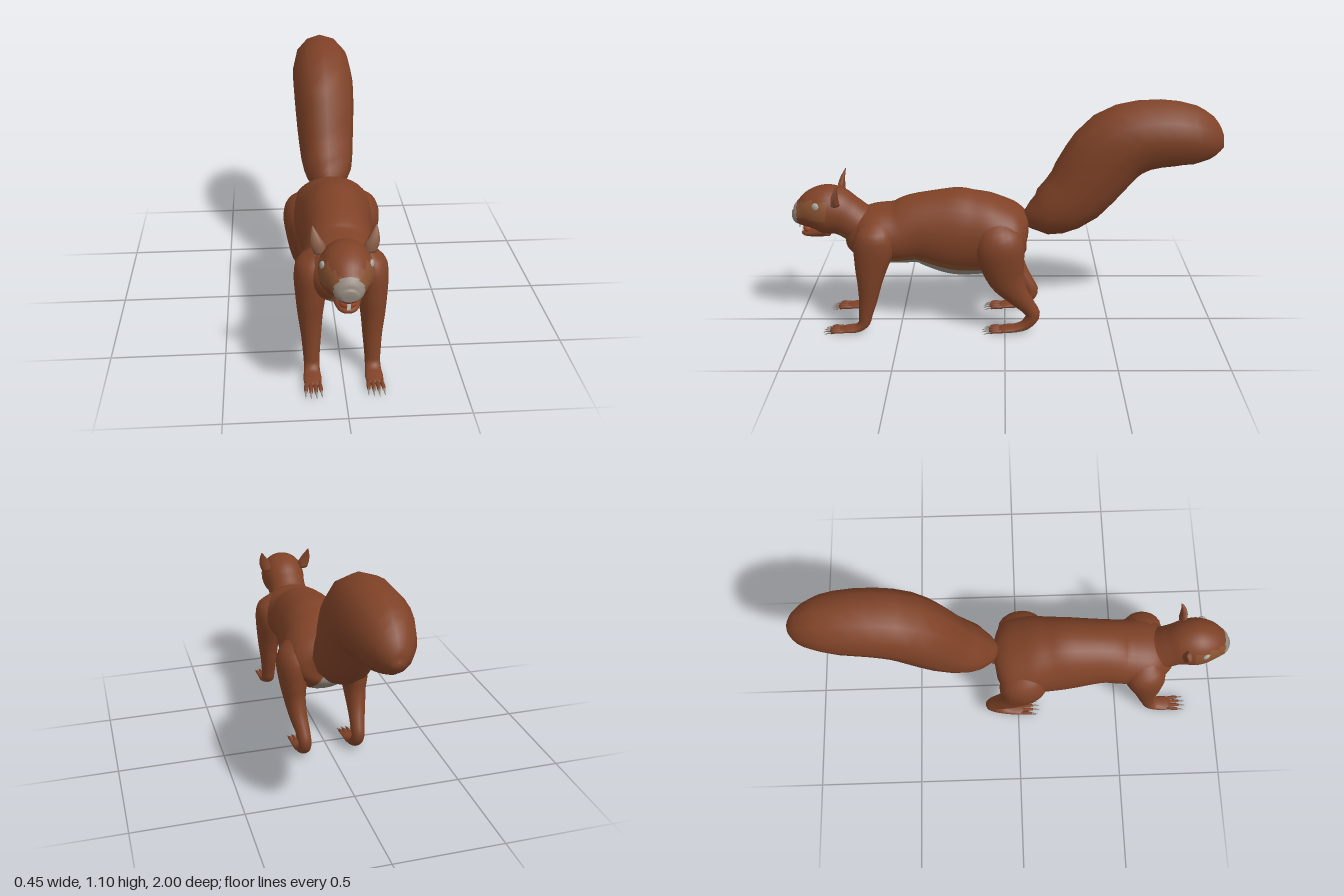
import * as THREE from 'three';

const mat = (name, color) => {
  const m = new THREE.MeshStandardMaterial({ color });
  m.name = name;
  return m;
};
const fur = mat('fur', 0x7f4227);
const paleFur = mat('paleFur', 0x86502f);
const grey = mat('greyFur', 0x958a80);
const eyeGrey = mat('eyeGrey', 0xaaa49c);
const earInner = mat('earInner', 0x875c45);
const mouthRed = mat('mouthRed', 0xa3482a);
const toothWhite = mat('tooth', 0xcfc8bc);

// Skin through elliptical sections. Each station is [x, y, z, sideRadius, upRadius].
// pick(centre, normal, angleFromBottom) returns the material of each face.
function loft(name, stations, { sides = 20, steps = 24, pick = () => fur } = {}) {
  const path = new THREE.CatmullRomCurve3(stations.map(s => new THREE.Vector3(s[0], s[1], s[2])), false, 'catmullrom');
  const size = new THREE.CatmullRomCurve3(stations.map(s => new THREE.Vector3(s[3], s[4], 0)), false, 'catmullrom');
  const X = new THREE.Vector3(1, 0, 0);
  const pts = [];
  for (let i = 0; i <= steps; i++) {
    const t = i / steps, c = path.getPoint(t), r = size.getPoint(t);
    const up = path.getTangent(t).cross(X).normalize();
    for (let j = 0; j < sides; j++) {
      const a = (j / sides) * Math.PI * 2;
      pts.push(c.clone().addScaledVector(X, Math.max(r.x, 0.001) * Math.sin(a))
        .addScaledVector(up, -Math.max(r.y, 0.001) * Math.cos(a)));
    }
  }
  const first = pts.push(path.getPoint(0)) - 1;
  const last = pts.push(path.getPoint(1)) - 1;
  const buckets = new Map();
  const add = (faces, angle) => {
    const [a, b, c] = faces[0].map(k => pts[k]);
    const n = new THREE.Vector3().subVectors(b, a).cross(new THREE.Vector3().subVectors(c, a)).normalize();
    const centre = new THREE.Vector3();
    faces.flat().forEach(k => centre.addScaledVector(pts[k], 1 / faces.flat().length));
    const m = pick(centre, n, angle);
    if (!buckets.has(m)) buckets.set(m, []);
    buckets.get(m).push(...faces.flat());
  };
  for (let j = 0; j < sides; j++) {
    const k = (j + 1) % sides, turn = ((j + 0.5) / sides) * Math.PI * 2;
    const angle = Math.min(turn, Math.PI * 2 - turn);
    for (let i = 0; i < steps; i++) {
      const p = i * sides, q = p + sides;
      add([[p + j, p + k, q + k], [p + j, q + k, q + j]], angle);
    }
    add([[first, k, j]], angle);
    add([[last, steps * sides + j, steps * sides + k]], angle);
  }
  const geo = new THREE.BufferGeometry().setFromPoints(pts);
  const index = [], mats = [];
  for (const [m, list] of buckets) {
    geo.addGroup(index.length, list.length, mats.length);
    mats.push(m);
    for (const v of list) index.push(v);
  }
  geo.setIndex(index);
  geo.computeVertexNormals();
  const mesh = new THREE.Mesh(geo, mats);
  mesh.name = name;
  return mesh;
}

function ball(name, material, pos, scale) {
  const m = new THREE.Mesh(new THREE.SphereGeometry(1, 16, 12), material);
  m.name = name;
  m.position.set(...pos);
  m.scale.set(...scale);
  return m;
}

// Four spread toes with grey claws
function toes(s, z) {
  const g = new THREE.Group();
  g.name = 'toes';
  for (let i = 0; i < 4; i++) {
    const o = i - 1.5, x = s * 0.13 + o * 0.018, reach = Math.abs(o) > 1 ? -0.008 : 0;
    g.add(loft('toe', [
      [x, 0.014, z - 0.02, 0.008, 0.009], [x + o * 0.002, 0.016, z + 0.02, 0.009, 0.009],
      [x + o * 0.003, 0.011, z + 0.045 + reach, 0.006, 0.007],
    ], { sides: 8, steps: 4, pick: (c, n) => (n.y < -0.4 ? grey : fur) }));
    g.add(loft('claw', [
      [x + o * 0.003, 0.012, z + 0.038 + reach, 0.005, 0.006], [x + o * 0.004, 0.01, z + 0.06 + reach, 0.004, 0.004],
      [x + o * 0.005, 0.004, z + 0.078 + reach, 0.001, 0.001],
    ], { sides: 6, steps: 4, pick: () => grey }));
  }
  return g;
}

export function createModel() {
  const model = new THREE.Group();
  model.name = 'squirrel';

  // Body with grey chest, belly and rump stripe
  model.add(loft('body', [
    [0, 0.48, -0.11, 0.04, 0.04], [0, 0.48, -0.095, 0.12, 0.095], [0, 0.475, -0.05, 0.17, 0.135],
    [0, 0.465, 0.05, 0.185, 0.185], [0, 0.462, 0.15, 0.175, 0.205], [0, 0.47, 0.25, 0.165, 0.21],
    [0, 0.482, 0.4, 0.15, 0.172], [0, 0.465, 0.5, 0.155, 0.148], [0, 0.46, 0.6, 0.165, 0.138],
    [0, 0.45, 0.67, 0.14, 0.115], [0, 0.445, 0.73, 0.085, 0.065], [0, 0.445, 0.75, 0.02, 0.02],
  ], {
    sides: 32, steps: 44,
    pick: (c, n, a) => {
      const edge = c.z > 0.55 ? 0.52 : c.z < 0 ? 0.42 : 0.78;
      return a < edge ? grey : a < edge + 0.2 && c.z > 0 ? paleFur : fur;
    },
  }));

  // Neck and head with pale cheeks and grey muzzle
  model.add(loft('head', [
    [0, 0.47, 0.6, 0.1, 0.1], [0, 0.505, 0.68, 0.1, 0.095], [0, 0.545, 0.74, 0.098, 0.1],
    [0, 0.57, 0.79, 0.107, 0.115], [0, 0.578, 0.84, 0.111, 0.118], [0, 0.575, 0.89, 0.1, 0.1],
    [0, 0.562, 0.94, 0.074, 0.07], [0, 0.552, 0.975, 0.052, 0.044], [0, 0.55, 0.992, 0.028, 0.024],
  ], {
    sides: 32, steps: 44,
    pick: (c, n, a) => {
      if (c.z > 0.965 && c.y > 0.528) return grey;
      if (c.z < 0.77 && a < 0.65) return grey;
      if (c.z < 0.77 && a < 0.9) return paleFur;
      return c.z > 0.82 && c.y > 0.56 && c.y < 0.61 + Math.abs(c.x) * 0.4 ? paleFur : fur;
    },
  }));

  // Open mouth
  model.add(loft('lowerJaw', [
    [0, 0.487, 0.83, 0.065, 0.038], [0, 0.472, 0.89, 0.053, 0.026],
    [0, 0.464, 0.935, 0.037, 0.015], [0, 0.465, 0.955, 0.016, 0.007],
  ], { steps: 12 }));
  model.add(ball('mouthInside', mouthRed, [0, 0.489, 0.925], [0.036, 0.025, 0.024]));
  for (const [name, y, z] of [['upperTooth', 0.505, 0.965], ['lowerTooth', 0.477, 0.95]]) {
    const tooth = new THREE.Mesh(new THREE.BoxGeometry(0.014, 0.028, 0.007), toothWhite);
    tooth.name = name;
    tooth.position.set(0, y, z);
    model.add(tooth);
  }

  // Bushy tail
  model.add(loft('tail', [
    [0, 0.525, -0.095, 0.03, 0.035], [0, 0.54, -0.14, 0.075, 0.075], [0, 0.57, -0.215, 0.115, 0.125],
    [0, 0.655, -0.33, 0.132, 0.158], [0, 0.78, -0.42, 0.143, 0.177], [0, 0.885, -0.51, 0.149, 0.181],
    [0, 0.935, -0.63, 0.149, 0.167], [0, 0.942, -0.78, 0.138, 0.153], [0, 0.925, -0.88, 0.113, 0.13],
    [0, 0.908, -0.95, 0.078, 0.088], [0, 0.9, -0.99, 0.035, 0.04], [0, 0.9, -1, 0.005, 0.005],
  ], { sides: 12, steps: 22 }));

  const sole = (c, n) => (n.y < -0.5 && c.y < 0.03 ? grey : fur);
  for (const s of [1, -1]) {
    const side = s > 0 ? 'left' : 'right';
    const mirror = list => list.map(([x, ...rest]) => [s * x, ...rest]);

    model.add(loft(side + 'FrontLeg', mirror([
      [0.09, 0.56, 0.6, 0.03, 0.04], [0.118, 0.51, 0.6, 0.066, 0.08], [0.128, 0.44, 0.605, 0.07, 0.095],
      [0.13, 0.34, 0.622, 0.062, 0.076], [0.132, 0.26, 0.632, 0.052, 0.058], [0.13, 0.18, 0.642, 0.043, 0.045],
      [0.13, 0.1, 0.657, 0.036, 0.033], [0.13, 0.05, 0.668, 0.033, 0.027], [0.13, 0.023, 0.7, 0.035, 0.019],
      [0.13, 0.018, 0.74, 0.038, 0.014], [0.13, 0.014, 0.785, 0.034, 0.008],
    ]), { steps: 32, pick: sole }), toes(s, 0.785));

    model.add(loft(side + 'BackLeg', mirror([
      [0.1, 0.575, 0.035, 0.03, 0.04], [0.128, 0.52, 0.035, 0.072, 0.09], [0.145, 0.45, 0.025, 0.08, 0.113],
      [0.15, 0.36, 0.012, 0.067, 0.103], [0.15, 0.28, -0.01, 0.052, 0.083], [0.145, 0.2, -0.06, 0.042, 0.054],
      [0.135, 0.135, -0.11, 0.034, 0.038], [0.132, 0.09, -0.132, 0.031, 0.034], [0.13, 0.04, -0.1, 0.031, 0.025],
      [0.13, 0.021, -0.05, 0.035, 0.017], [0.13, 0.018, 0, 0.038, 0.013], [0.13, 0.013, 0.03, 0.034, 0.008],
    ]), { steps: 34, pick: sole }), toes(s, 0.03));

    // Pointed ear with pale inner face
    model.add(loft(side + 'Ear', mirror([
      [0.098, 0.63, 0.775, 0.026, 0.02], [0.107, 0.665, 0.775, 0.029, 0.017],
      [0.117, 0.7, 0.768, 0.019, 0.01], [0.126, 0.737, 0.755, 0.002, 0.002],
    ]), { sides: 14, steps: 10, pick: (c, n) => (n.z > 0.5 ? earInner : fur) }));

    const eye = ball(side + 'Eye', eyeGrey, [s * 0.094, 0.622, 0.868], [0.01, 0.019, 0.018]);
    eye.rotation.y = -s * 0.4;
    model.add(eye);
  }
  return model;
}
